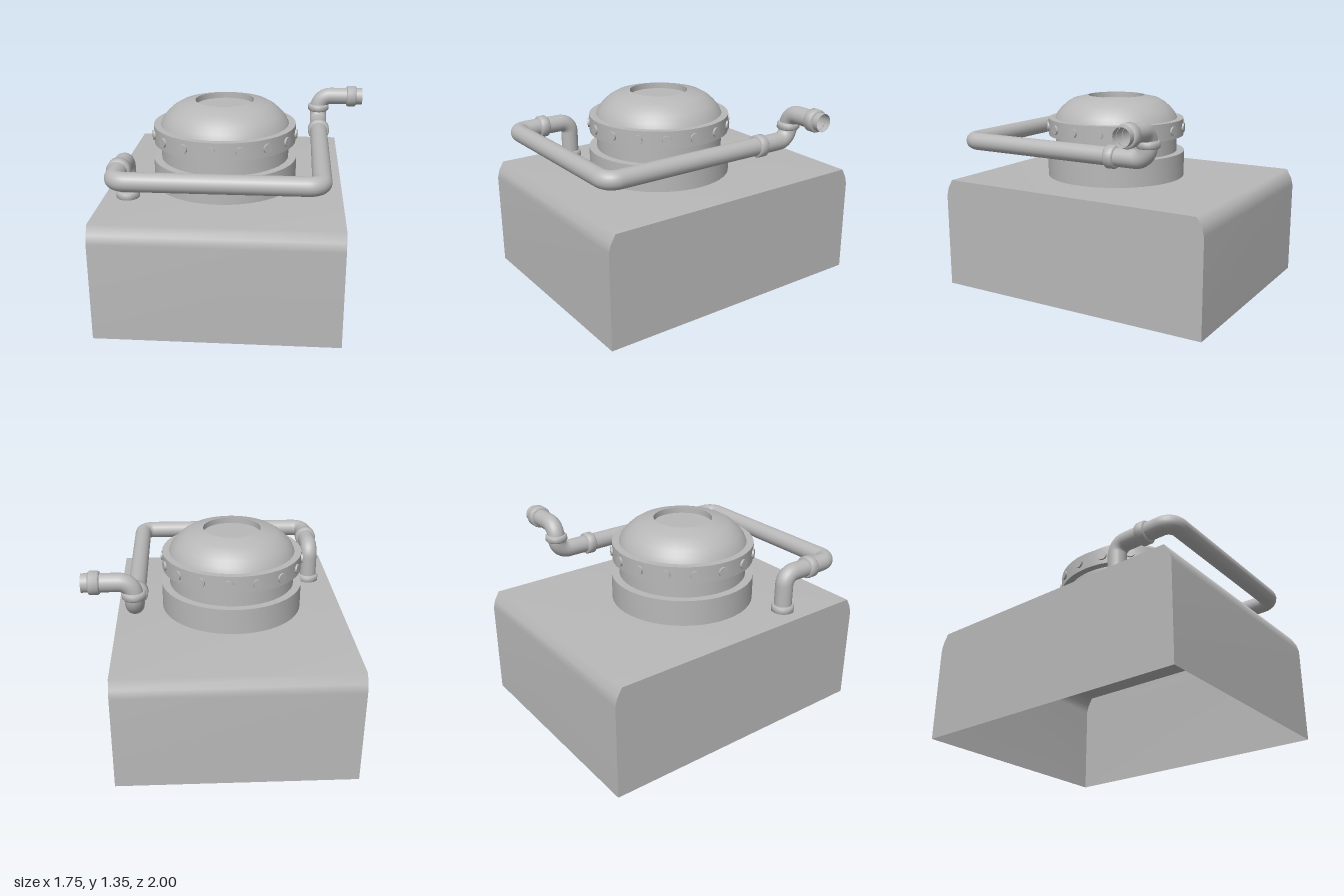
import * as THREE from 'three';
import { toCreasedNormals } from 'three/addons/utils/BufferGeometryUtils.js';

const V = (x, y, z) => new THREE.Vector3(x, y, z);

// Surface of revolution with sharp edges kept; points are [radius, height], bottom to top
function lathe(points, segments = 48, crease = 0.6) {
  const g = new THREE.LatheGeometry(points.map(p => new THREE.Vector2(...p)), segments);
  return toCreasedNormals(g, crease);
}

// Path through points with rounded corners
function roundedPath(points, radii) {
  const path = new THREE.CurvePath();
  let from = points[0];
  for (let i = 1; i < points.length - 1; i++) {
    const p = points[i], r = radii[i - 1], k = r * 0.448;
    const back = points[i - 1].clone().sub(p).normalize();
    const ahead = points[i + 1].clone().sub(p).normalize();
    const a = p.clone().addScaledVector(back, r), b = p.clone().addScaledVector(ahead, r);
    path.add(new THREE.LineCurve3(from, a));
    path.add(new THREE.CubicBezierCurve3(a, p.clone().addScaledVector(back, k), p.clone().addScaledVector(ahead, k), b));
    from = b;
  }
  path.add(new THREE.LineCurve3(from, points[points.length - 1]));
  return path;
}

export function createModel() {
  const model = new THREE.Group();
  model.name = 'pipedTank';
  const grey = new THREE.MeshStandardMaterial({ color: 0xb8b8b8, side: THREE.DoubleSide });
  grey.name = 'grey';
  const add = (name, geometry, parent = model) => {
    const mesh = new THREE.Mesh(geometry, grey);
    mesh.name = name;
    parent.add(mesh);
    return mesh;
  };

  // Housing: open-bottomed shell, rounded along its front and back top edges
  const half = [[1, 0], [1, 0.66], [0.985, 0.715], [0.95, 0.775]];
  const section = [...half, ...half.map(([z, y]) => [-z, y]).reverse()];
  const x0 = -0.88, x1 = 0.705;
  const pos = [], idx = [];
  section.forEach(([z, y], i) => {
    pos.push(x0, y, z, x1, y, z);
    if (i) {
      const a = 2 * i - 2;
      idx.push(a, a + 1, a + 3, a, a + 3, a + 2);
    }
  });
  const shell = new THREE.BufferGeometry();
  shell.setAttribute('position', new THREE.Float32BufferAttribute(pos, 3));
  shell.setIndex(idx);
  shell.computeVertexNormals();
  add('housingShell', shell);
  const endShape = new THREE.Shape(section.map(([z, y]) => new THREE.Vector2(z, y)));
  for (const [name, x, turn] of [['housingLeftWall', x1, 1], ['housingRightWall', x0, -1]]) {
    const wall = add(name, new THREE.ShapeGeometry(endShape));
    wall.rotation.y = turn * Math.PI / 2;
    wall.position.x = x;
  }

  // Domed vessel
  const vessel = new THREE.Group();
  vessel.name = 'vessel';
  vessel.position.set(-0.105, 0, 0.085);
  model.add(vessel);
  add('vesselBase', lathe([[0, 0.765], [0.495, 0.765], [0.495, 0.955], [0, 0.955]]), vessel);
  add('vesselNeck', lathe([[0.44, 0.955], [0.44, 1.07]]), vessel);
  add('boltFlange', lathe([[0.44, 1.07], [0.488, 1.07], [0.488, 1.19], [0.43, 1.19]]), vessel);
  add('dome', lathe([
    [0.44, 1.19], [0.425, 1.225], [0.395, 1.262], [0.355, 1.298], [0.31, 1.325], [0.2, 1.35],
    [0.2, 1.31], [0, 1.31],
  ]), vessel);

  // Bolts around the flange
  const boltGeometry = new THREE.CylinderGeometry(0.032, 0.032, 0.03, 14).rotateX(Math.PI / 2);
  for (let i = 0; i < 16; i++) {
    const angle = (-5.8 + i * 22.5) * Math.PI / 180;
    const bolt = add('bolt', boltGeometry, vessel);
    bolt.position.set(Math.sin(angle) * 0.485, 1.13, Math.cos(angle) * 0.485);
    bolt.rotation.y = angle;
  }

  // Pipe, open at both ends
  const pipePath = roundedPath([
    V(-0.72, 0.735, 0.475), V(-0.72, 1.04, 0.475), V(-0.72, 1.04, 0.9), V(0.55, 1.04, 0.9),
    V(0.55, 1.04, -0.54), V(0.55, 1.23, -0.54), V(0.875, 1.23, -0.54),
  ], [0.075, 0.08, 0.08, 0.09, 0.09]);
  add('pipe', new THREE.TubeGeometry(pipePath, 260, 0.061, 20, false));

  // Pipe collars: centre, axis, length
  const collars = [
    [V(-0.72, 0.793, 0.475), V(0, 1, 0), 0.056],
    [V(-0.72, 1.04, 0.693), V(0, 0, 1), 0.07],
    [V(0.55, 1.04, -0.28), V(0, 0, 1), 0.07],
    [V(0.55, 1.143, -0.54), V(0, 1, 0), 0.05],
    [V(0.795, 1.23, -0.54), V(1, 0, 0), 0.072],
  ];
  for (const [centre, axis, length] of collars) {
    const h = length / 2, c = 0.01;
    const collar = add('collar', lathe([
      [0.058, -h], [0.068, -h], [0.077, -h + c], [0.077, h - c], [0.068, h], [0.058, h],
    ], 24, 0.9));
    collar.position.copy(centre);
    collar.quaternion.setFromUnitVectors(V(0, 1, 0), axis);
  }
  return model;
}
